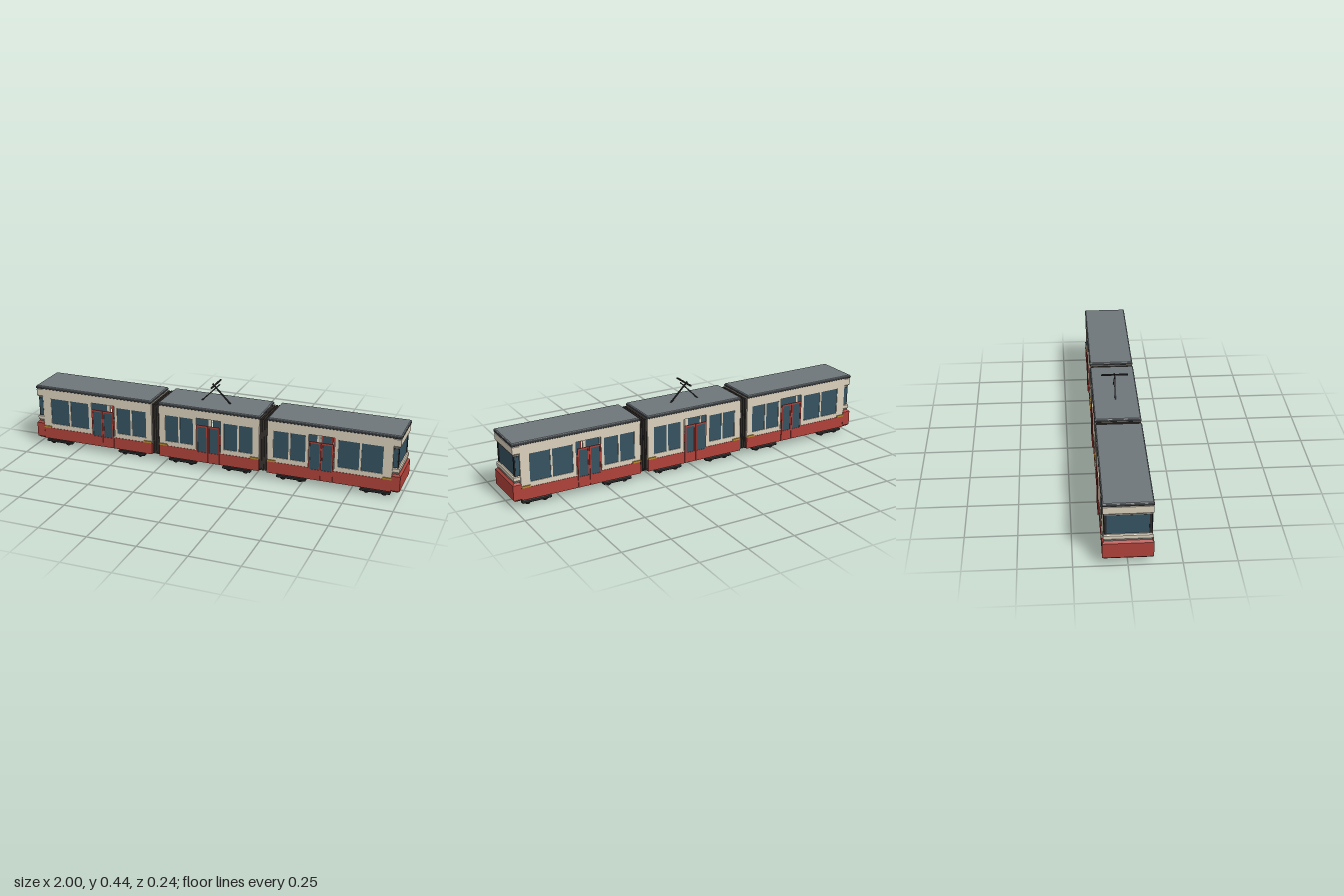
import * as THREE from 'three';

const mat = (color, double) => new THREE.MeshStandardMaterial({ color, flatShading: true, side: double ? THREE.DoubleSide : THREE.FrontSide });
const CREAM = mat(0xd9cfbb), RED = mat(0xb0423a), GLASS = mat(0x355260), ROOF = mat(0x6f767b), TRIM = mat(0x45494c),
  DARK = mat(0x2b2a2a), RUBBER = mat(0x38332f), FLOOR = mat(0x463e34), GOLD = mat(0xb8892f), SILVER = mat(0x8c8d86);

function add(parent, name, geometry, material) {
  const mesh = new THREE.Mesh(geometry, material);
  mesh.name = name;
  parent.add(mesh);
  return mesh;
}

// Box given by its limits on each axis
function box(parent, name, m, x0, x1, y0, y1, z0, z1) {
  const mesh = add(parent, name, new THREE.BoxGeometry(x1 - x0, y1 - y0, Math.abs(z1 - z0)), m);
  mesh.position.set((x0 + x1) / 2, (y0 + y1) / 2, (z0 + z1) / 2);
  return mesh;
}

// Box with a chamfer on its upright corners and horizontal edges
function slab(parent, name, m, x0, x1, y0, y1, hz, b) {
  const s = new THREE.Shape(), w = (x1 - x0) / 2 - b, h = hz - b;
  s.moveTo(-w, -h).lineTo(w, -h).lineTo(w, h).lineTo(-w, h).closePath();
  const g = new THREE.ExtrudeGeometry(s, { depth: y1 - y0 - 2 * b, bevelThickness: b, bevelSize: b, bevelSegments: 1 });
  g.translate(0, 0, b).rotateX(-Math.PI / 2);
  const mesh = add(parent, name, g, m);
  mesh.position.set((x0 + x1) / 2, y0, 0);
  return mesh;
}

const rectPath = (x0, x1, y0, y1) =>
  new THREE.Path([[x0, y0], [x0, y1], [x1, y1], [x1, y0]].map(p => new THREE.Vector2(...p)));

// One side of a car: wall with openings, panes, skirt, stripe ends and double door
function carSide(x0, x1, door, windows) {
  const side = new THREE.Group();
  side.name = 'carSide';
  const wall = new THREE.Shape([[x0, 0.1], [x1, 0.1], [x1, 0.32], [x0, 0.32]].map(p => new THREE.Vector2(...p)));
  for (const [a, b] of windows) wall.holes.push(rectPath(a, b, 0.125, 0.27));
  wall.holes.push(rectPath(door - 0.067, door + 0.067, 0.105, 0.278));
  add(side, 'wall', new THREE.ExtrudeGeometry(wall, { depth: 0.01, bevelEnabled: false }), CREAM).position.z = 0.104;
  for (const [a, b] of windows) box(side, 'windowPane', GLASS, a, b, 0.125, 0.27, 0.106, 0.111);
  box(side, 'skirt', RED, x0, x1, 0.037, 0.1, 0.104, 0.116);
  for (const [a, b] of [[x0, x0 + 0.045], [x1 - 0.045, x1]])
    box(side, 'stripeEnd', GOLD, a, b, 0.1, 0.11, 0.112, 0.119);
  for (const s of [-1, 1]) {
    const c = door + s * 0.032;
    const leaf = new THREE.Shape([[c - 0.031, 0.04], [c + 0.031, 0.04], [c + 0.031, 0.244], [c - 0.031, 0.244]].map(p => new THREE.Vector2(...p)));
    leaf.holes.push(rectPath(c - 0.024, c + 0.024, 0.095, 0.235));
    add(side, 'doorLeaf', new THREE.ExtrudeGeometry(leaf, { depth: 0.005, bevelEnabled: false }), RED).position.z = 0.116;
    box(side, 'doorGlass', GLASS, c - 0.024, c + 0.024, 0.095, 0.235, 0.116, 0.119);
  }
  return side;
}

// Hollow car body shared by all three sections
function car(name, x0, x1, door, windows) {
  const g = new THREE.Group();
  g.name = name;
  const front = carSide(x0, x1, door, windows);
  // The back wall is the front wall turned half round about the door line
  const back = carSide(2 * door - x1, 2 * door - x0, door, windows.map(([a, b]) => [2 * door - b, 2 * door - a]));
  back.rotation.y = Math.PI;
  back.position.x = 2 * door;
  g.add(front, back);
  box(g, 'floor', FLOOR, x0, x1, 0.036, 0.046, -0.104, 0.104);
  for (const [a, b] of [[x0, x0 + 0.008], [x1 - 0.008, x1]])
    box(g, 'endWall', CREAM, a, b, 0.046, 0.32, -0.104, 0.104);
  return g;
}

function roof(parent, x0, x1) {
  slab(parent, 'roofEdge', TRIM, x0, x1, 0.318, 0.332, 0.116, 0.004);
  slab(parent, 'roofPanel', ROOF, x0 + 0.002, x1 - 0.002, 0.322, 0.336, 0.115, 0.004);
}

// Driver's end, built at +x
function cab() {
  const g = new THREE.Group();
  g.name = 'cab';
  slab(g, 'nose', RED, 0.955, 1, 0.035, 0.132, 0.117, 0.01);
  slab(g, 'noseLedge', SILVER, 0.953, 0.99, 0.13, 0.14, 0.108, 0.002);
  slab(g, 'sillBand', CREAM, 0.953, 0.993, 0.138, 0.165, 0.112, 0.005);
  box(g, 'windscreen', GLASS, 0.953, 0.982, 0.163, 0.27, -0.098, 0.098);
  for (const s of [-1, 1]) {
    box(g, 'pillar', DARK, 0.953, 0.985, 0.163, 0.272, s * 0.096, s * 0.108);
    box(g, 'cabSideGlass', GLASS, 0.96, 0.98, 0.168, 0.265, s * 0.106, s * 0.11);
  }
  slab(g, 'headerTrim', SILVER, 0.953, 0.986, 0.266, 0.278, 0.109, 0.002);
  slab(g, 'headerBand', CREAM, 0.953, 0.993, 0.275, 0.32, 0.114, 0.005);
  return g;
}

function bogie(x) {
  const g = new THREE.Group();
  g.name = 'bogie';
  box(g, 'frame', DARK, -0.06, 0.06, 0.012, 0.037, -0.095, 0.095);
  for (const s of [-1, 1]) {
    slab(g, 'sideBeam', DARK, -0.077, 0.077, 0.011, 0.029, 0.01, 0.004).position.z = s * 0.093;
    const wheels = add(g, 'wheelSet', new THREE.CylinderGeometry(0.017, 0.017, 0.186, 12), DARK);
    wheels.rotation.x = Math.PI / 2;
    wheels.position.set(s * 0.045, 0.017, 0);
  }
  box(g, 'centreBlock', DARK, -0.025, 0.025, 0.005, 0.03, -0.085, 0.085);
  g.position.x = x;
  return g;
}

// Folded gangway between two cars
function bellows(x) {
  const g = new THREE.Group();
  g.name = 'bellows';
  box(g, 'core', RUBBER, -0.025, 0.025, 0.046, 0.316, -0.104, 0.104);
  for (let i = -1; i <= 1; i++)
    box(g, 'fold', RUBBER, i * 0.013 - 0.004, i * 0.013 + 0.004, 0.042, 0.32, -0.11, 0.11);
  g.position.x = x;
  return g;
}

function pantograph() {
  const g = new THREE.Group();
  g.name = 'pantograph';
  for (const s of [-1, 1]) {
    const arm = add(g, 'arm', new THREE.BoxGeometry(0.141, 0.006, 0.007), DARK);
    arm.position.set(s * 0.03, 0.383, 0);
    arm.rotation.z = -s * Math.PI / 4;
  }
  box(g, 'contactBar', DARK, -0.004, 0.004, 0.431, 0.437, -0.069, 0.069);
  return g;
}

export function createModel() {
  const model = new THREE.Group();
  model.name = 'tram';

  const middle = car('middleCar', -0.275, 0.275, 0, [[-0.24, -0.167], [-0.158, -0.085], [0.085, 0.158], [0.167, 0.24]]);
  roof(middle, -0.278, 0.278);
  model.add(middle, pantograph());

  // End cars are the same car turned half round
  for (const turn of [0, Math.PI]) {
    const end = car('endCar', 0.318, 0.957, 0.6, [[0.35, 0.43], [0.44, 0.518], [0.685, 0.792], [0.802, 0.91]]);
    roof(end, 0.318, 0.996);
    end.add(cab(), bellows(0.297));
    end.rotation.y = turn;
    model.add(end);
  }

  for (const x of [0.15, 0.443, 0.875]) model.add(bogie(x), bogie(-x));
  return model;
}
